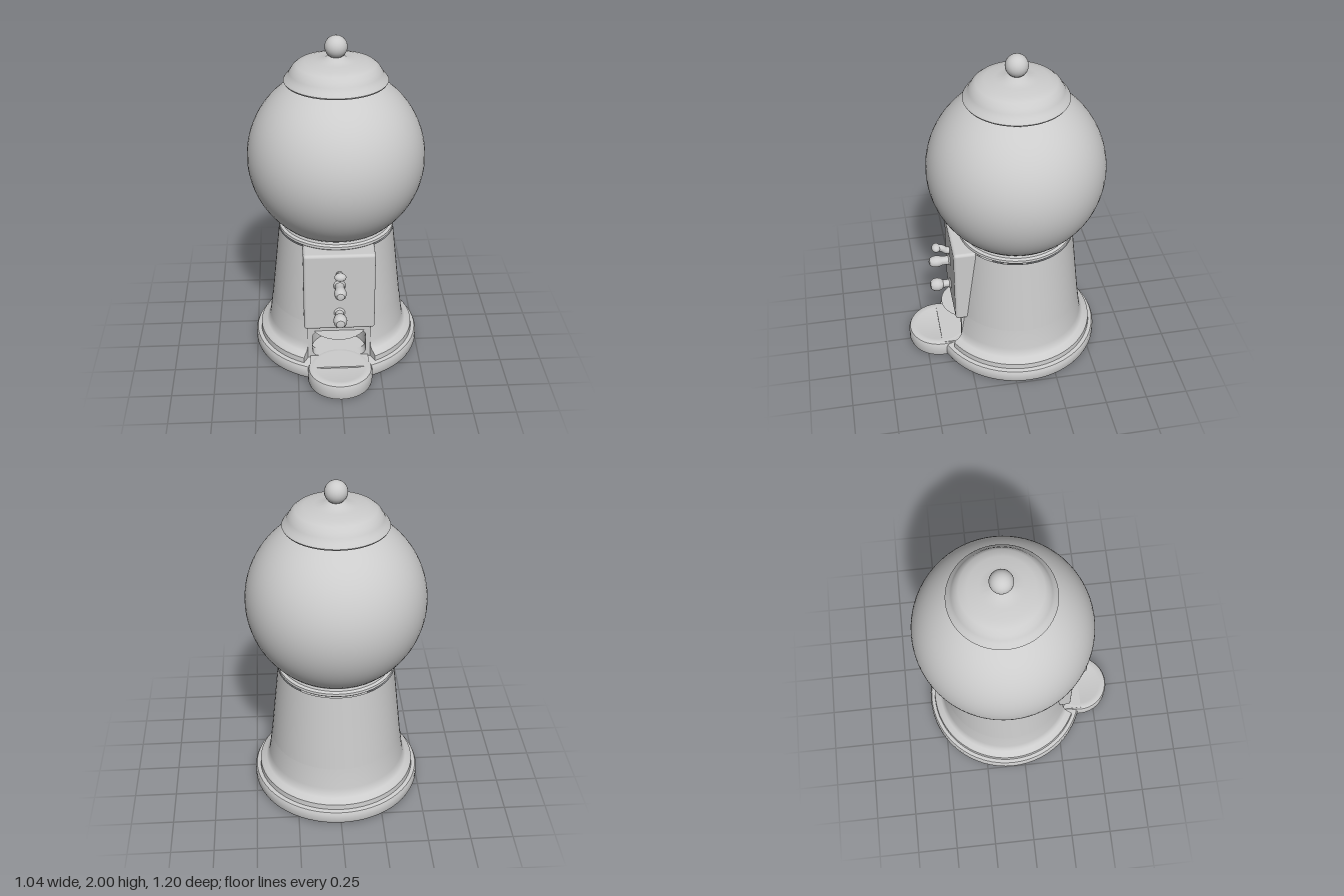
import * as THREE from 'three';
import { toCreasedNormals } from 'three/addons/utils/BufferGeometryUtils.js';
import { RoundedBoxGeometry } from 'three/addons/geometries/RoundedBoxGeometry.js';

const AXIS_Z = -0.08; // the round body stands a little behind the centre
const GAP = 0.47; // half angle left open in the lower body for the chute

export function createModel() {
  const model = new THREE.Group();
  const material = new THREE.MeshStandardMaterial({ color: 0xcccccc });
  const doubleSided = new THREE.MeshStandardMaterial({ color: 0xcccccc, side: THREE.DoubleSide });

  function add(name, geometry, x = 0, y = 0, z = 0, mat = material) {
    const mesh = new THREE.Mesh(geometry, mat);
    mesh.name = name;
    mesh.position.set(x, y, z);
    model.add(mesh);
    return mesh;
  }
  const points = (list) => list.map(([r, y]) => new THREE.Vector2(r, y));
  function lathe(list, segments = 64, start = 0, length = Math.PI * 2) {
    return toCreasedNormals(new THREE.LatheGeometry(points(list), segments, start, length), 0.6);
  }
  function roundedRect(target, x0, y0, x1, y1, r) {
    target.moveTo(x0 + r, y0);
    target.lineTo(x1 - r, y0).quadraticCurveTo(x1, y0, x1, y0 + r);
    target.lineTo(x1, y1 - r).quadraticCurveTo(x1, y1, x1 - r, y1);
    target.lineTo(x0 + r, y1).quadraticCurveTo(x0, y1, x0, y1 - r);
    target.lineTo(x0, y0 + r).quadraticCurveTo(x0, y0, x0 + r, y0);
    return target;
  }

  // Foot disc
  add('foot', lathe([[0, 0], [0.485, 0], [0.5, 0.012], [0.505, 0.025], [0.505, 0.07],
    [0.497, 0.087], [0.48, 0.093], [0, 0.093]]), 0, 0, AXIS_Z);

  // Lower body with its moulding, open at the front
  const lower = [[0.475, 0.09], [0.472, 0.125], [0.46, 0.138], [0.435, 0.147], [0.421, 0.165],
    [0.413, 0.2], [0.396, 0.335]];
  add('lowerBody', lathe(lower, 56, GAP, Math.PI * 2 - GAP * 2), 0, 0, AXIS_Z);
  for (const side of [1, -1]) {
    const end = new THREE.Shape(points([[0.37, 0.09], ...lower, [0.37, 0.335]]));
    add('lowerBodyEnd', new THREE.ShapeGeometry(end), 0, 0, AXIS_Z, doubleSided)
      .rotation.y = side * GAP - Math.PI / 2;
  }

  // Tapered upper body and the collar under the globe
  add('upperBody', lathe([[0.396, 0.33], [0.37, 0.58], [0.345, 0.82]]), 0, 0, AXIS_Z);
  add('collar', lathe([[0.3, 0.815], [0.335, 0.82], [0.346, 0.83], [0.344, 0.845], [0.328, 0.853],
    [0.323, 0.867], [0.337, 0.877], [0.334, 0.89], [0.29, 0.895]]), 0, 0, AXIS_Z);

  // Globe: a sphere cut off under the lid and at the collar
  const globe = [];
  for (let i = 0; i <= 32; i++) {
    const a = THREE.MathUtils.lerp(-0.92, 1.05, i / 32);
    globe.push([0.52 * Math.cos(a), 1.275 + 0.52 * Math.sin(a)]);
  }
  add('globe', lathe(globe), 0, 0, AXIS_Z);

  // Lid with rolled rim, and its knob
  add('lid', lathe([[0, 1.725], [0.275, 1.73], [0.294, 1.735], [0.299, 1.744], [0.292, 1.755],
    [0.277, 1.768], [0.265, 1.79], [0.25, 1.815], [0.225, 1.836], [0.18, 1.849], [0.12, 1.858],
    [0.07, 1.866], [0.045, 1.88], [0, 1.885]]), 0, 0, AXIS_Z);
  add('lidKnob', new THREE.SphereGeometry(0.065, 24, 16), 0, 1.935, AXIS_Z);

  // Chute front with a rounded opening
  const front = roundedRect(new THREE.Shape(), -0.19, 0.08, 0.19, 0.34, 0.005);
  front.holes.push(roundedRect(new THREE.Path(), -0.16, 0.105, 0.16, 0.28, 0.045));
  const frontGeometry = new THREE.ExtrudeGeometry(front, { depth: 0.07, bevelEnabled: false, curveSegments: 6 });
  add('chuteFront', toCreasedNormals(frontGeometry, 0.6), 0, 0, 0.22);

  // Hollow behind the opening: curved back wall, ceiling and floor
  add('chuteWall', new THREE.CylinderGeometry(0.165, 0.165, 0.2, 24, 1, true, Math.PI / 2, Math.PI),
    0, 0.19, 0.222, doubleSided);
  add('chuteCeiling', new THREE.CircleGeometry(0.165, 32), 0, 0.285, 0.222, doubleSided).rotation.x = Math.PI / 2;
  add('chuteFloor', new THREE.BoxGeometry(0.35, 0.05, 0.36), 0, 0.08, 0.23);

  // Round catch tray, slightly dished
  add('tray', lathe([[0, 0], [0.175, 0], [0.189, 0.01], [0.193, 0.025], [0.193, 0.08],
    [0.186, 0.098], [0.17, 0.106], [0.145, 0.104], [0.11, 0.097], [0, 0.095]], 40), 0, 0, 0.407);

  // Coin panel
  add('panel', new RoundedBoxGeometry(0.42, 0.505, 0.235, 3, 0.018), 0, 0.572, 0.2075);

  // Two round knobs on stems, pointing forward
  for (const [name, y, stem, ball] of [['coinKnob', 0.623, 0.027, 0.036], ['turnKnob', 0.435, 0.024, 0.041]]) {
    const profile = [[stem + 0.012, 0], [stem, 0.012], [stem, 0.05], [ball * 0.9, 0.065], [ball, 0.085],
      [ball * 0.92, 0.108], [ball * 0.6, 0.126], [0, 0.132]];
    add(name, lathe(profile, 20), 0, y, 0.322).rotation.x = Math.PI / 2;
  }

  // Bent lever at the top of the panel
  const bend = new THREE.CatmullRomCurve3([[0.315, 0.7], [0.345, 0.703], [0.37, 0.722], [0.405, 0.73]]
    .map(([z, y]) => new THREE.Vector3(0, y, z)));
  add('lever', new THREE.TubeGeometry(bend, 16, 0.021, 12));
  const tip = add('leverTip', new THREE.SphereGeometry(0.03, 16, 12), 0, 0.73, 0.405);
  tip.scale.set(1.15, 0.8, 0.9);

  return model;
}
